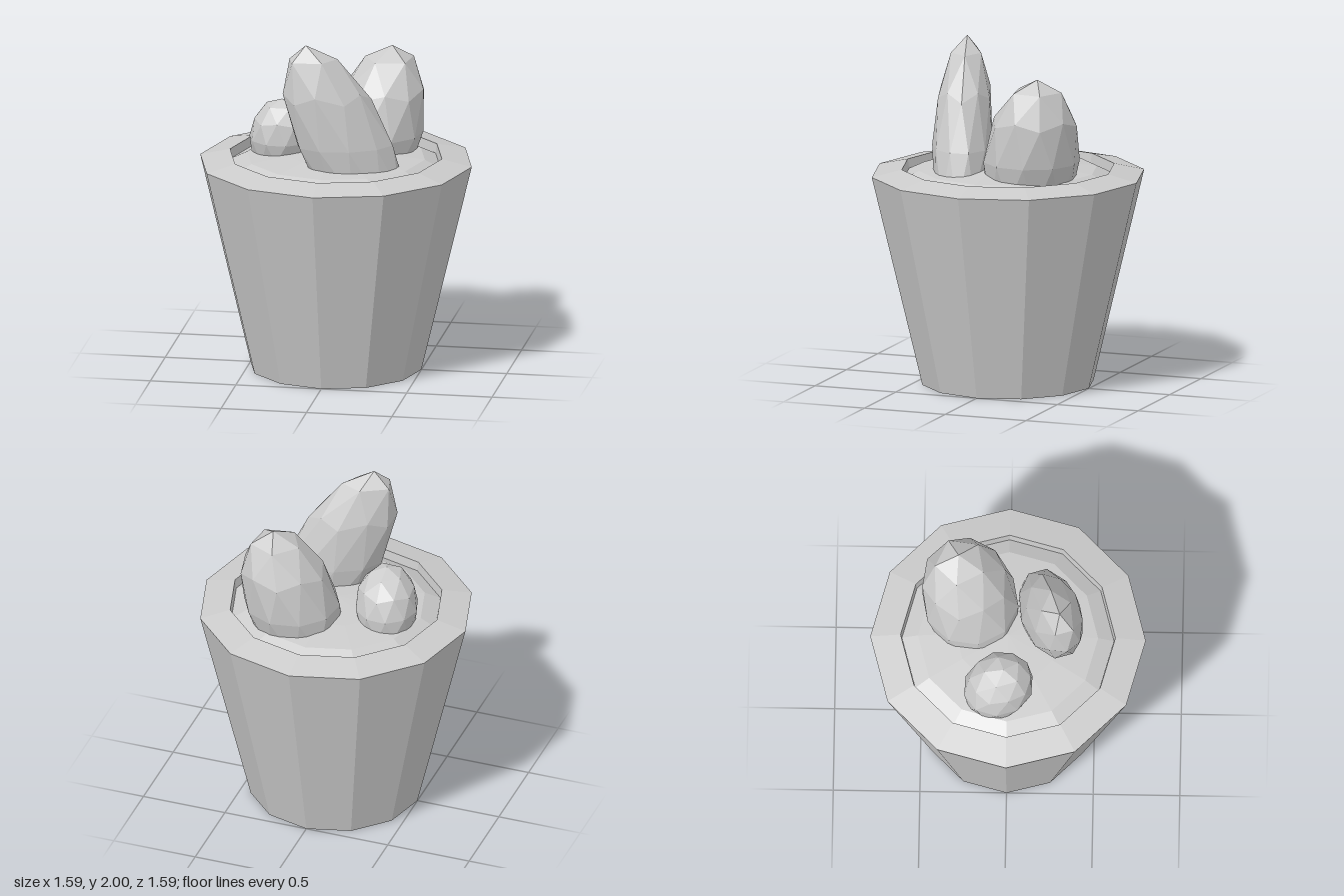
import * as THREE from 'three';

const material = new THREE.MeshStandardMaterial({ color: 0xcccccc, flatShading: true });

function lathe(name, profile) {
  const points = profile.map(([r, y]) => new THREE.Vector2(r, y));
  const mesh = new THREE.Mesh(new THREE.LatheGeometry(points, 12), material);
  mesh.name = name;
  return mesh;
}

// Faceted egg with a vertex on top, turned about y, then leaned by a shear
function stone(name, { center, radii, yaw = 0, lean }) {
  const geometry = new THREE.IcosahedronGeometry(1, 1);
  geometry.rotateZ(-Math.atan(2 / (1 + Math.sqrt(5))));
  geometry.scale(...radii);
  geometry.rotateY(yaw);
  const p = geometry.attributes.position;
  for (let i = 0; i < p.count; i++) {
    const t = p.getY(i) / radii[1];
    p.setX(i, p.getX(i) + lean[0] * t);
    p.setZ(i, p.getZ(i) + lean[1] * t);
  }
  geometry.computeVertexNormals();
  const mesh = new THREE.Mesh(geometry, material);
  mesh.name = name;
  mesh.position.set(...center);
  return mesh;
}

export function createModel() {
  const model = new THREE.Group();
  model.name = 'pottedStones';

  // Tapered pot with a sloping rim and a short inner wall
  model.add(lathe('pot', [[0, 0], [0.5, 0], [0.795, 1.23], [0.62, 1.27], [0.61, 1.2]]));

  // Domed soil
  model.add(lathe('soil', [[0.612, 1.215], [0.52, 1.26], [0.3, 1.285], [0, 1.3]]));

  // Three leaning egg-shaped growths
  model.add(stone('tallStone', {
    center: [0.095, 1.4, 0.245], radii: [0.285, 0.6, 0.175], yaw: 0.3, lean: [-0.22, 0.055],
  }));
  model.add(stone('wideStone', {
    center: [0.19, 1.355, -0.22], radii: [0.28, 0.5, 0.28], yaw: 0.5, lean: [0.09, -0.07],
  }));
  model.add(stone('smallStone', {
    center: [-0.33, 1.34, -0.05], radii: [0.185, 0.24, 0.205], yaw: 0.3, lean: [0.01, 0.03],
  }));

  return model;
}
